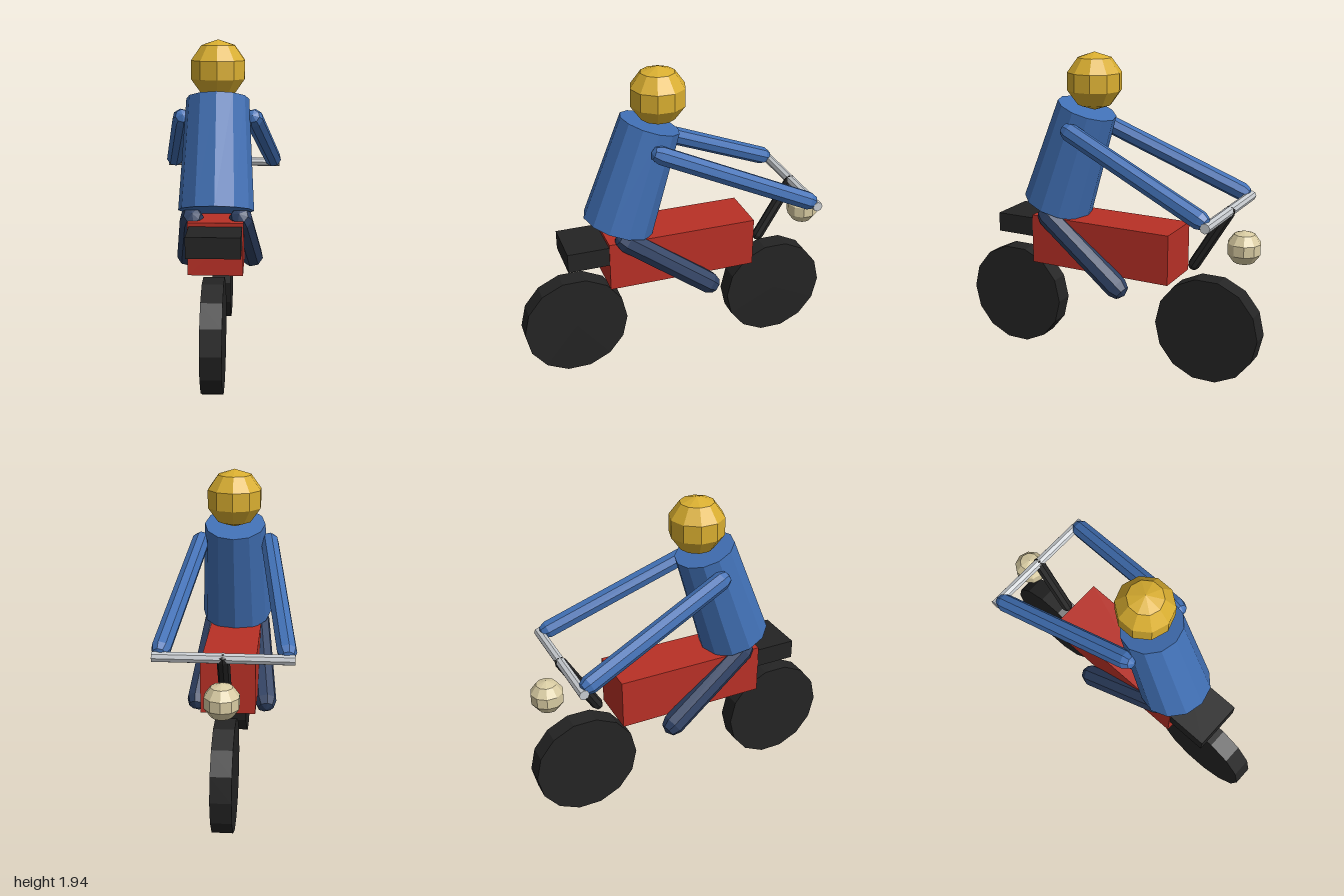
import * as THREE from 'three';

const paint = (name, color) => {
  const m = new THREE.MeshStandardMaterial({ color, flatShading: true });
  m.name = name;
  return m;
};

export function createModel() {
  const black = paint('black rubber', 0x242424);
  const red = paint('red paint', 0xb83026);
  const blue = paint('blue jacket', 0x4170b5);
  const navy = paint('navy trousers', 0x2f4163);
  const yellow = paint('yellow helmet', 0xd9ae30);
  const cream = paint('cream lamp', 0xd8cba2);
  const silver = paint('silver metal', 0xc8ccd0);

  const model = new THREE.Group();
  model.name = 'motorbikeAndRider';

  const add = (name, geometry, material, x = 0, y = 0, z = 0) => {
    const mesh = new THREE.Mesh(geometry, material);
    mesh.name = name;
    mesh.position.set(x, y, z);
    model.add(mesh);
    return mesh;
  };

  // Place a y-axis geometry between two points
  const between = (name, geometry, material, a, b) => {
    const from = new THREE.Vector3(...a), to = new THREE.Vector3(...b);
    const mesh = add(name, geometry, material);
    mesh.position.copy(from).lerp(to, 0.5);
    mesh.quaternion.setFromUnitVectors(new THREE.Vector3(0, 1, 0), to.sub(from).normalize());
    return mesh;
  };

  // Round-ended rod
  const rod = (name, radius, material, a, b) => {
    const length = new THREE.Vector3(...a).distanceTo(new THREE.Vector3(...b));
    return between(name, new THREE.CapsuleGeometry(radius, length, 2, 8), material, a, b);
  };

  // Coarse ball with a vertex facing front and back
  const ball = (name, radius, material, y, z) =>
    add(name, new THREE.SphereGeometry(radius, 10, 5).rotateY(Math.PI / 2), material, 0, y, z);

  // Wheels
  const wheel = new THREE.CylinderGeometry(0.328, 0.328, 0.12, 14).rotateZ(Math.PI / 2);
  add('rearWheel', wheel, black, 0, 0.322, 0.67);
  add('frontWheel', wheel, black, 0, 0.322, -0.67);

  // Body and rear seat
  add('body', new THREE.BoxGeometry(0.32, 0.31, 0.93), red, 0, 0.767, 0.003);
  add('seat', new THREE.BoxGeometry(0.306, 0.12, 0.4), black, 0, 0.84, 0.522);

  // Steering and lamp
  rod('fork', 0.036, black, [0, 0.715, -0.565], [0, 1.07, -0.775]);
  add('handlebar', new THREE.CylinderGeometry(0.03, 0.03, 0.77, 8).rotateZ(Math.PI / 2),
    silver, 0, 1.075, -0.776);
  ball('headlamp', 0.104, cream, 0.868, -0.873);

  // Rider
  between('torso', new THREE.CylinderGeometry(0.185, 0.22, 0.66, 12), blue,
    [0, 0.973, 0.369], [0, 1.599, 0.157]);
  ball('helmet', 0.174, yellow, 1.767, 0.106);
  for (const [side, s] of [['left', 1], ['right', -1]]) {
    rod(side + 'Arm', 0.056, blue, [s * 0.212, 1.487, 0.163], [s * 0.34, 1.104, -0.73]);
    rod(side + 'Leg', 0.07, navy, [s * 0.142, 0.925, 0.36], [s * 0.207, 0.562, -0.15]);
  }

  return model;
}
